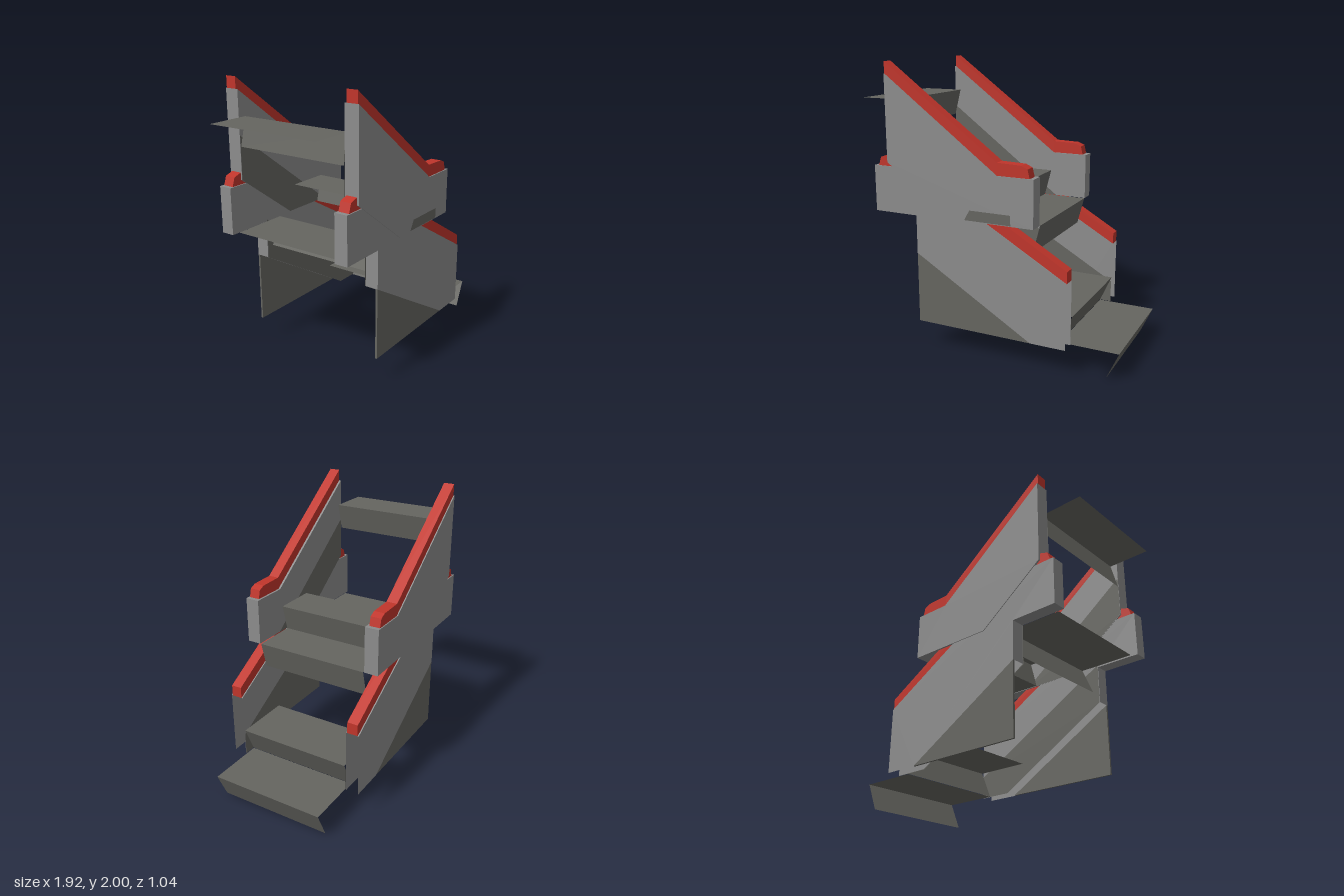
import * as THREE from 'three';

const mat = (name, color) => {
  const m = new THREE.MeshStandardMaterial({ color, side: THREE.DoubleSide });
  m.name = name;
  return m;
};

const shapeOf = (pts) => new THREE.Shape(pts.map(([x, y]) => new THREE.Vector2(x, y)));

export function createModel() {
  const root = new THREE.Group();
  root.name = 'staircase';
  const wallGrey = mat('wallGrey', 0x8c8c8c);
  const stepGrey = mat('stepGrey', 0x656560);
  const railRed = mat('railRed', 0xc0352b);

  const add = (parent, name, geometry, material, z = 0) => {
    const mesh = new THREE.Mesh(geometry, material);
    mesh.name = name;
    mesh.position.z = z;
    parent.add(mesh);
    return mesh;
  };

  // Flat panel in the x-y plane
  const panel = (parent, name, pts, z, material) =>
    add(parent, name, new THREE.ShapeGeometry(shapeOf(pts)), material, z);

  // Ribbon following an x-y path, spanning z0 to z1
  const ribbon = (parent, name, path, z0, z1, material) => {
    const pos = [];
    for (let i = 0; i + 1 < path.length; i++) {
      const [a, b] = [path[i], path[i + 1]];
      pos.push(...a, z0, ...a, z1, ...b, z1, ...a, z0, ...b, z1, ...b, z0);
    }
    const g = new THREE.BufferGeometry();
    g.setAttribute('position', new THREE.Float32BufferAttribute(pos, 3));
    g.computeVertexNormals();
    return add(parent, name, g, material);
  };

  // Solid profile between two depths
  const solid = (parent, name, pts, z0, z1, material) =>
    add(parent, name, new THREE.ExtrudeGeometry(shapeOf(pts), { depth: z1 - z0, bevelEnabled: false }), material, z0);

  const upperWall = [[-0.70, 1.32], [-0.23, 0.975], [0.40, 0.975], [0.40, 1.30], [0.14, 1.30], [-0.70, 1.92]];
  const upperRail = [[-0.70, 1.92], [0.14, 1.30], [0.37, 1.30], [0.355, 1.36], [0.31, 1.38], [0.14, 1.385], [-0.70, 2.0]];
  const upperSkirt = [[-0.70, 1.32], [-0.23, 0.975], [0.17, 0.975], [-0.70, 1.62]];

  // Lower profile starts at the open foot and runs up the sloped top
  const lowerWall = [[0.63, 0.645], [-0.50, 1.29], [-0.81, 1.29], [-0.81, 0.965], [-0.48, 0.965],
    [-0.48, 0.695], [0.38, 0.19], [0.63, 0.19]];
  const lowerRail = [[0.63, 0.645], [0.63, 0.725], [-0.48, 1.37], [-0.70, 1.37], [-0.76, 1.35], [-0.78, 1.29], [-0.50, 1.29]];
  const lowerSkirt = [[-0.48, 0.695], [0.38, 0.19], [0.63, 0.19], [0.63, 0.35], [-0.48, 0.98]];
  const underside = [[-0.48, 0.19], [0.38, 0.19], [-0.48, 0.695]];

  // Mirrored side walls with handrails
  for (const s of [1, -1]) {
    const side = new THREE.Group();
    side.name = s > 0 ? 'frontSide' : 'backSide';
    const span = (a, b) => (s > 0 ? [a, b] : [-b, -a]);

    solid(side, 'upperWall', upperWall, ...span(0.42, 0.52), wallGrey);
    solid(side, 'upperRail', upperRail, ...span(0.435, 0.512), railRed);
    panel(side, 'upperSkirt', upperSkirt, s * 0.417, stepGrey);

    // Hollow lower wall, open underneath and at the foot
    panel(side, 'lowerOuterPanel', lowerWall, s * 0.515, wallGrey);
    panel(side, 'lowerInnerPanel', lowerWall, s * 0.422, wallGrey);
    ribbon(side, 'lowerWallEdge', lowerWall.slice(0, 6), s * 0.422, s * 0.515, wallGrey);
    solid(side, 'lowerRail', lowerRail, ...span(0.43, 0.507), railRed);
    panel(side, 'lowerSkirt', lowerSkirt, s * 0.417, stepGrey);
    solid(side, 'undersidePanel', underside, ...span(0.50, 0.514), stepGrey);
    root.add(side);
  }

  // Worn patch at the foot of the upper front wall
  panel(root, 'wornPatch', [[-0.10, 0.98], [0.24, 0.98], [0.24, 1.05], [-0.06, 1.05]], 0.522, stepGrey);

  // Surviving steps: nosing x, tread y, tread depth, riser setback
  const steps = [
    [0.96, 0.19, 0.41, 0.085], [0.635, 0.385, 0.41, 0.085], [-0.35, 0.97, 0.41, 0.085],
    [0.40, 0.975, 0.32, 0.05], [0.13, 1.165, 0.31, 0.05], [-0.65, 1.74, 0.31, 0.05],
  ];
  steps.forEach(([x, y, depth, set], i) => {
    const step = new THREE.Group();
    step.name = `step${i + 1}`;
    ribbon(step, 'tread', [[x - depth, y], [x, y]], 0.412, -0.412, stepGrey);
    ribbon(step, 'riser', [[x, y], [x - set, y - (y < 0.2 ? y : 0.193)]], 0.412, -0.412, stepGrey);
    root.add(step);
  });

  return root;
}
